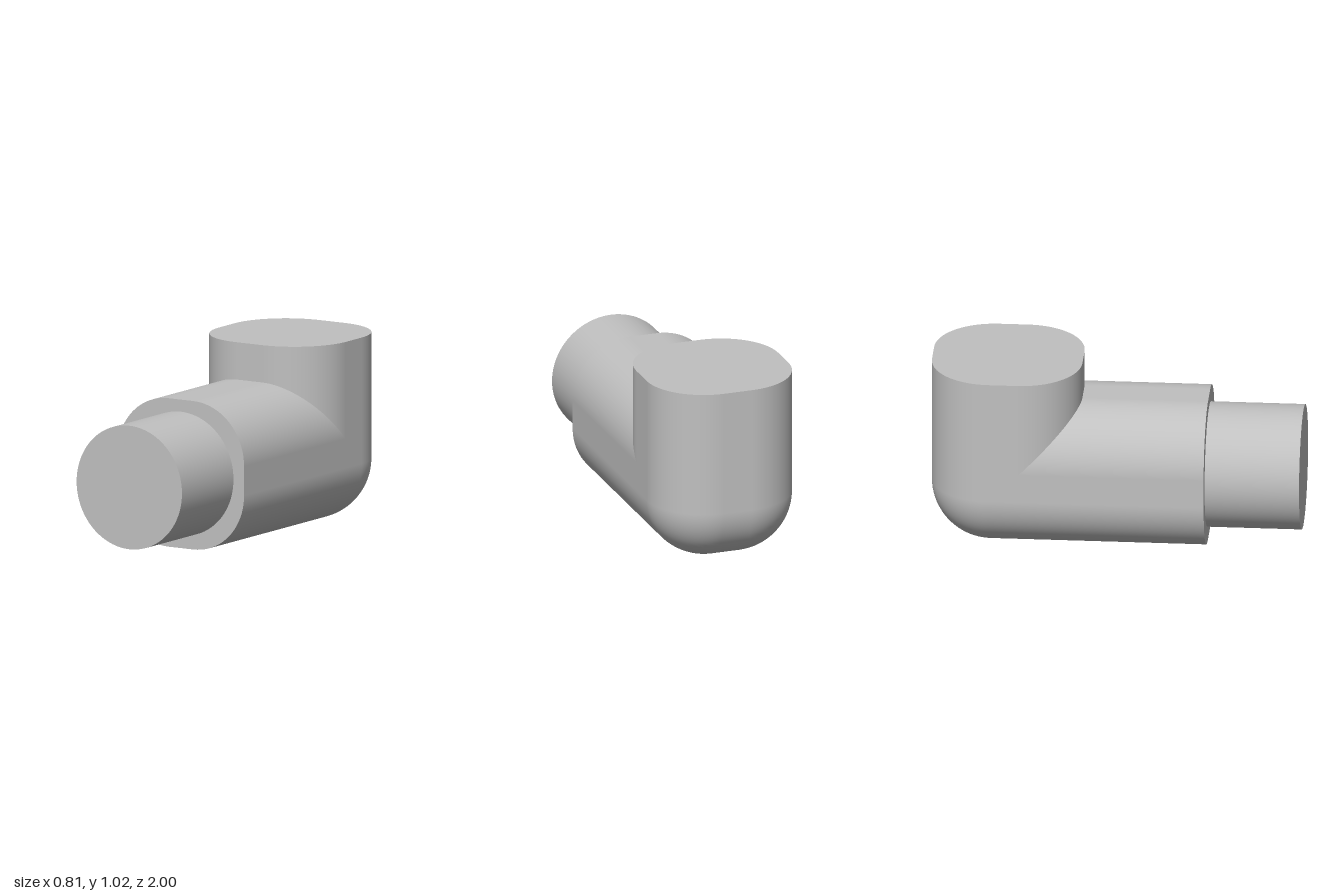
import * as THREE from 'three';

const HALF = 0.406;          // half width of the rounded-square section
const RADIUS = 0.326;        // its corner radius
const FLAT = HALF - RADIUS;  // half length of its flats
const FRONT = 0.49, TOP = 1.016;
const AXIS_Y = HALF, AXIS_Z = -1 + HALF;
const CORNER_STEPS = 20, BEND_STEPS = 20;

// Rounded-square section: position (u, v) and outward normal (nu, nv)
function sectionPoints() {
  const points = [];
  for (let q = 0; q < 4; q++) {
    const cu = q === 0 || q === 3 ? FLAT : -FLAT;
    const cv = q < 2 ? FLAT : -FLAT;
    for (let k = 0; k <= CORNER_STEPS; k++) {
      const t = (q + k / CORNER_STEPS) * Math.PI / 2;
      const nu = Math.cos(t), nv = Math.sin(t);
      points.push({ u: cu + RADIUS * nu, v: cv + RADIUS * nv, nu, nv });
    }
  }
  return points;
}

// Sweep the section back and then up: round outer bend, sharp mitre inside
function elbowGeometry(section) {
  const position = [], normal = [], index = [];
  const n = section.length, rings = BEND_STEPS + 3;
  for (let i = 0; i < rings; i++) {
    const bend = Math.min(Math.max(i - 1, 0), BEND_STEPS) / BEND_STEPS;
    const c = Math.cos(bend * Math.PI / 2), s = Math.sin(bend * Math.PI / 2);
    for (const { u, v, nu, nv } of section) {
      const w = Math.min(v, FLAT), r = v - w;
      const y = i === rings - 1 ? TOP : AXIS_Y - w - r * c;
      const z = i === 0 ? FRONT : AXIS_Z - w - r * s;
      position.push(u, y, z);
      normal.push(nu, -nv * c, -nv * s);
    }
  }
  for (let i = 0; i < rings - 1; i++) {
    const inBend = i > 0 && i < rings - 2;
    for (let j = 0; j < n; j++) {
      const k = (j + 1) % n;
      // the inner side has no length within the bend
      if (inBend && Math.max(section[j].v, section[k].v) < FLAT + 1e-6) continue;
      const a = i * n + j, b = i * n + k;
      index.push(a, b, a + n, b, b + n, a + n);
    }
  }
  const geometry = new THREE.BufferGeometry();
  geometry.setAttribute('position', new THREE.Float32BufferAttribute(position, 3));
  geometry.setAttribute('normal', new THREE.Float32BufferAttribute(normal, 3));
  geometry.setIndex(index);
  return geometry;
}

export function createModel() {
  const group = new THREE.Group();
  group.name = 'pipeElbow';
  const grey = new THREE.MeshStandardMaterial({ color: 0xc0c0c0 });
  grey.name = 'grey';

  const add = (name, geometry, y = 0, z = 0) => {
    const mesh = new THREE.Mesh(geometry, grey);
    mesh.name = name;
    mesh.position.set(0, y, z);
    group.add(mesh);
  };

  const section = sectionPoints();
  const outline = new THREE.Shape(section.map(p => new THREE.Vector2(p.u, p.v)));

  // Bent body and its two flat ends
  add('elbowBody', elbowGeometry(section));
  add('topFace', new THREE.ShapeGeometry(outline).rotateX(-Math.PI / 2), TOP, AXIS_Z);
  add('frontShoulder', new THREE.ShapeGeometry(outline), AXIS_Y, FRONT);

  // Round spigot at the front
  const length = 1 - FRONT;
  add('spigot', new THREE.CylinderGeometry(0.338, 0.338, length, 80).rotateX(Math.PI / 2),
    AXIS_Y + 0.002, FRONT + length / 2);

  return group;
}
